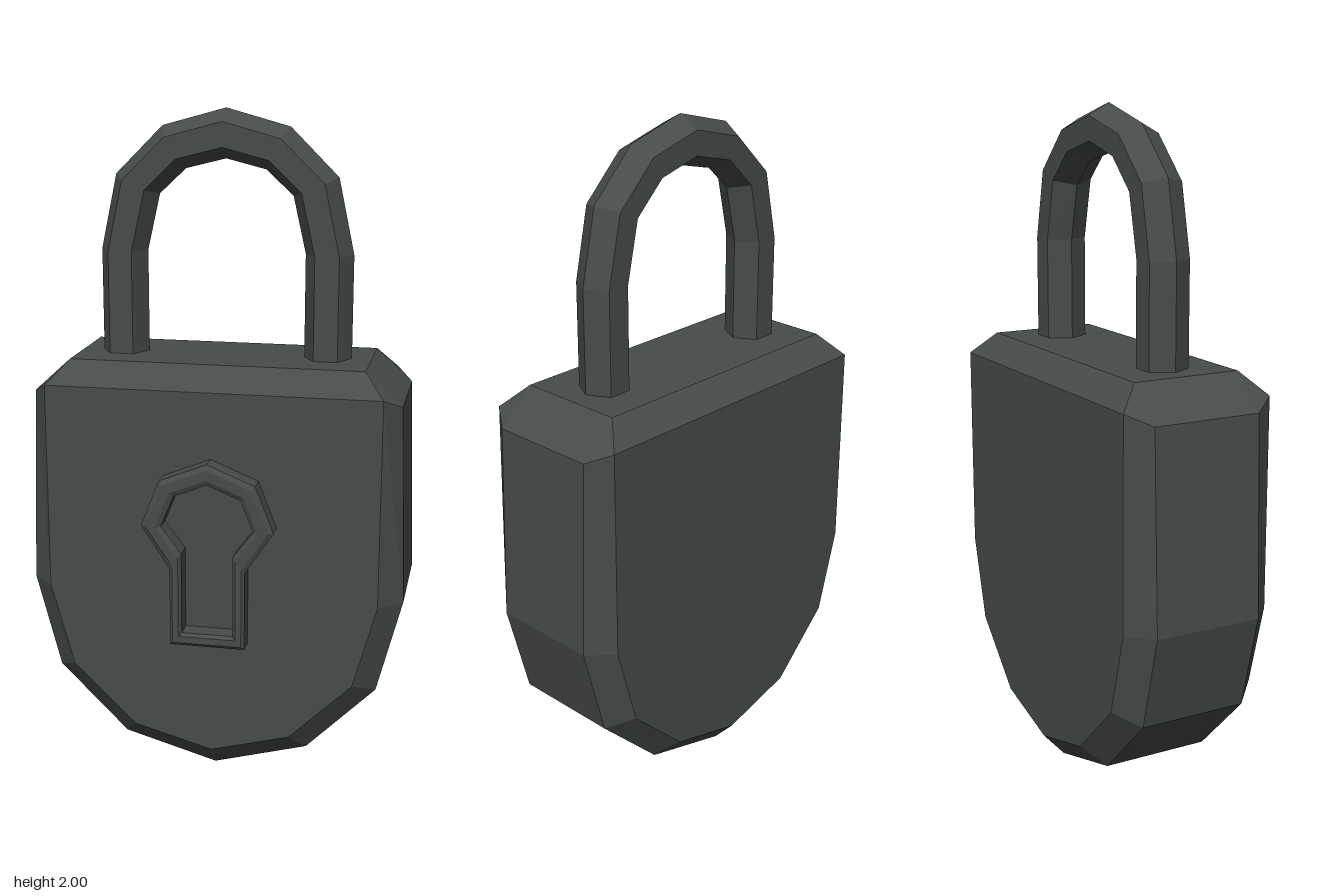
import * as THREE from 'three';

// Mirror a right-hand half outline (top to bottom) into a counter-clockwise loop.
// The bottom point lies on the centre line; the top one may as well.
function mirrorLoop(half) {
  const left = half.map(([x, y]) => [-x, y]);
  const right = [...half].reverse();
  return [...right, ...left].filter((p, i, all) => {
    const q = all[(i + 1) % all.length];
    return p[0] !== 0 || q[0] !== 0 || p[1] !== q[1];
  });
}

// Skin a series of equal closed rings; optional fan caps at both ends.
function loft(rings, capped) {
  const pos = [];
  const n = rings[0].length;
  const tri = (a, b, c) => {
    const area = new THREE.Triangle(a, b, c).getArea();
    if (area > 1e-7) for (const p of [a, b, c]) pos.push(p.x, p.y, p.z);
  };
  for (let r = 0; r < rings.length - 1; r++) {
    const a = rings[r], b = rings[r + 1];
    for (let i = 0; i < n; i++) {
      const j = (i + 1) % n;
      tri(a[i], a[j], b[j]);
      tri(a[i], b[j], b[i]);
    }
  }
  if (capped) {
    const first = rings[0], last = rings[rings.length - 1];
    for (let i = 1; i < n - 1; i++) {
      tri(first[0], first[i + 1], first[i]);
      tri(last[0], last[i], last[i + 1]);
    }
  }
  const geo = new THREE.BufferGeometry();
  geo.setAttribute('position', new THREE.Float32BufferAttribute(pos, 3));
  geo.computeVertexNormals();
  return geo;
}

// Point between two matching outline points, at depth z.
const between = (a, b, t, z) =>
  new THREE.Vector3(a[0] + (b[0] - a[0]) * t, a[1] + (b[1] - a[1]) * t, z);

export function createModel() {
  const group = new THREE.Group();
  const metal = new THREE.MeshStandardMaterial({ color: 0x474b4c, flatShading: true });
  const add = (name, geo) => {
    const mesh = new THREE.Mesh(geo, metal);
    mesh.name = name;
    group.add(mesh);
  };
  // Rings from [blend, z] steps between an outer and an inner outline
  const rings = (outer, inner, steps) =>
    steps.map(([t, z]) => outer.map((p, i) => between(p, inner[i], t, z)));

  // Shield-shaped body with chamfered front and back
  const bodyOuter = mirrorLoop([[0.44, 1.275], [0.55, 1.175], [0.57, 0.58], [0.495, 0.29], [0.285, 0.08], [0, 0]]);
  const bodyInner = mirrorLoop([[0.5, 1.207], [0.5, 1.207], [0.5, 0.58], [0.43, 0.325], [0.24, 0.14], [0, 0.075]]);
  add('body', loft(rings(bodyOuter, bodyInner, [[1, -0.268], [0, -0.2], [0, 0.133], [1, 0.202]]), true));

  // Raised keyhole rim, bevelled on both edges
  const rimOuter = mirrorLoop([[0, 1.008], [0.143, 0.95], [0.198, 0.81], [0.113, 0.68], [0.113, 0.44]]);
  const rimInner = mirrorLoop([[0, 0.945], [0.1, 0.905], [0.138, 0.81], [0.077, 0.73], [0.077, 0.48]]);
  add('keyholeRim', loft(rings(rimOuter, rimInner,
    [[0, 0.19], [0, 0.257], [0.25, 0.265], [0.75, 0.265], [1, 0.257], [1, 0.19]]), false));

  // Shackle: hexagonal section swept over a faceted arch
  const archOuter = [[0.381, 1.22], [0.381, 1.583], [0.333, 1.806], [0.19, 1.948], [0, 2]];
  const archInner = [[0.238, 1.22], [0.238, 1.583], [0.2, 1.75], [0.12, 1.825], [0, 1.855]];
  const overTop = (half) => [...half, ...half.slice(0, -1).reverse().map(([x, y]) => [-x, y])];
  const section = [[0, 0], [0.25, -0.065], [0.75, -0.065], [1, 0], [0.75, 0.065], [0.25, 0.065]];
  const inner = overTop(archInner);
  add('shackle', loft(overTop(archOuter).map((p, i) =>
    section.map(([t, z]) => between(p, inner[i], t, z - 0.034))), true));

  return group;
}
